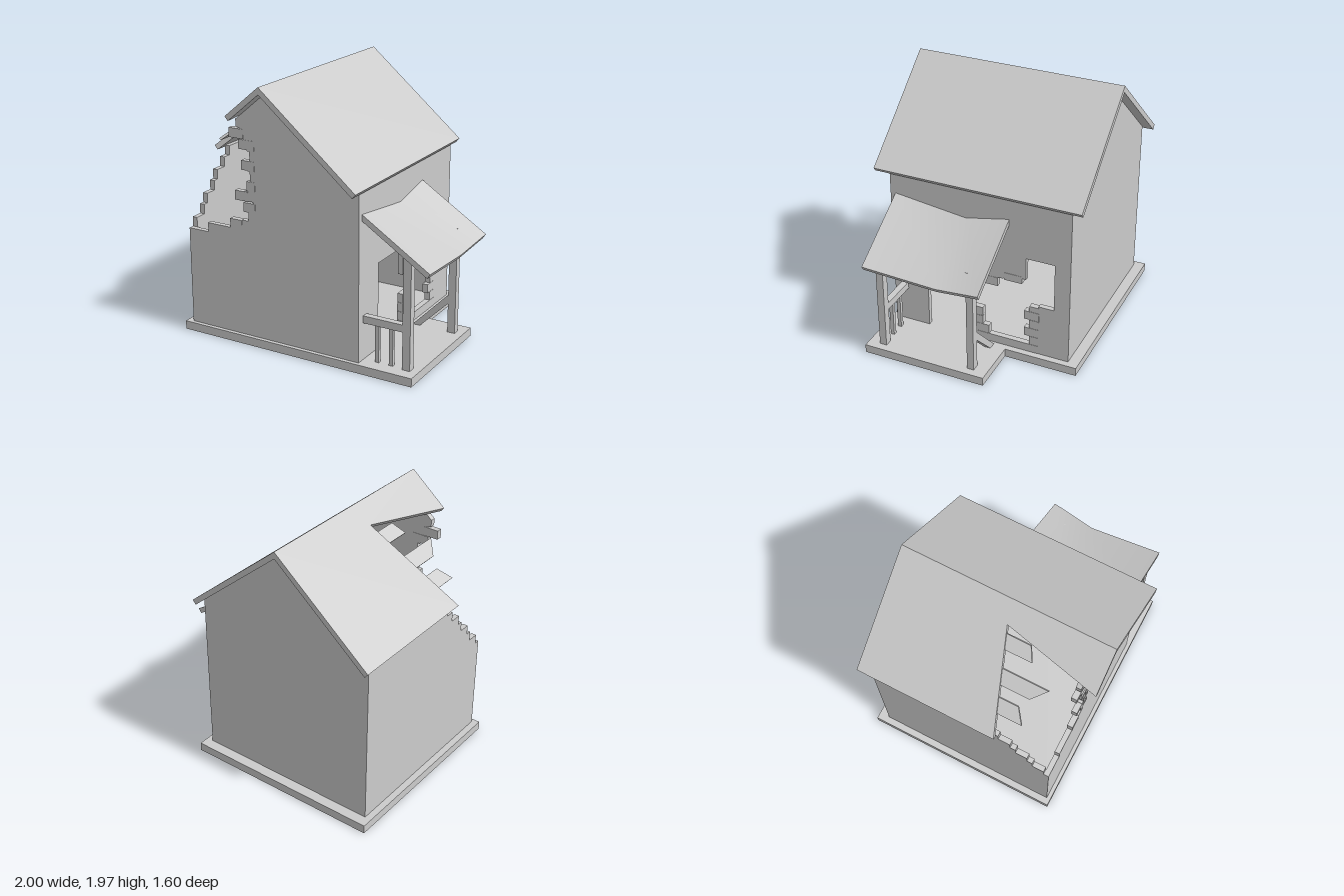
import * as THREE from 'three';
import { toCreasedNormals } from 'three/addons/utils/BufferGeometryUtils.js';

const T = 0.04; // wall and roof thickness
const RIDGE_X = -0.24, RIDGE_Y = 1.97, SLOPE = 0.84;
const ANGLE = Math.atan(SLOPE), COS = Math.cos(ANGLE);
const ROW = 0.074; // brick course height

export function createModel() {
  const model = new THREE.Group();
  const material = new THREE.MeshStandardMaterial({ color: 0xcccccc });

  const add = (name, geometry, parent = model) => {
    const mesh = new THREE.Mesh(geometry, material);
    mesh.name = name;
    parent.add(mesh);
    return mesh;
  };
  const extrude = (points, depth) =>
    new THREE.ExtrudeGeometry(new THREE.Shape(points.map(([a, b]) => new THREE.Vector2(a, b))),
      { depth, bevelEnabled: false });
  // Box given by its lower and upper limits on each axis
  const box = (name, [x0, x1], [y0, y1], [z0, z1], parent) =>
    add(name, new THREE.BoxGeometry(x1 - x0, y1 - y0, z1 - z0)
      .translate((x0 + x1) / 2, (y0 + y1) / 2, (z0 + z1) / 2), parent);
  // Horizontal slab from an (x, z) outline
  const slab = (points, y, height) =>
    extrude(points.map(([x, z]) => [x, -z]), height).rotateX(-Math.PI / 2).translate(0, y, 0);
  // Wall across x from a (z, y) outline, outer or inner face at xMax
  const sideWall = (points, xMax) => extrude(points, T).rotateY(-Math.PI / 2).translate(xMax, 0, 0);
  const underRoof = x => 1.92 - SLOPE * Math.abs(x - RIDGE_X);

  // L-shaped foundation with the porch floor
  add('foundation', slab([[-1, -0.8], [0.53, -0.8], [0.53, -0.24], [0.91, -0.24], [0.91, 0.72], [-1, 0.72]], 0, 0.065));

  // Back gable wall
  const B = 0.02, L = -0.95, R = 0.48;
  add('backWall', extrude([[L, B], [R, B], [R, underRoof(R)], [RIDGE_X, 1.92], [L, underRoof(L)]], T).translate(0, 0, -0.72));

  // Front gable wall, its upper left corner broken away
  const edge = [-0.48, -0.42, -0.38, -0.45, -0.42, -0.4, -0.42, -0.4, -0.42, -0.45];
  const broken = [[L, 0.81], [-0.78, 0.81], [-0.78, 0.88], [-0.5, 0.88]];
  edge.forEach((x, i) => broken.push([x, 0.88 + i * ROW], [x, 0.88 + (i + 1) * ROW]));
  add('frontWall', extrude([[L, B], [R, B], [R, underRoof(R)], [RIDGE_X, 1.92],
    [-0.51, underRoof(-0.51)], [-0.51, 1.64], ...broken.reverse()], T).translate(0, 0, 0.69 - T));

  // Bricks left standing along the front break
  const frontBricks = new THREE.Group();
  frontBricks.name = 'frontBricks';
  model.add(frontBricks);
  [[-0.58, -0.48, 0.88], [-0.46, -0.36, 1.02], [-0.53, -0.42, 1.1], [-0.43, -0.36, 1.18],
    [-0.47, -0.36, 1.33], [-0.49, -0.36, 1.48], [-0.57, -0.45, 1.555]]
    .forEach(([x0, x1, y]) => box('brick', [x0, x1], [y, y + 0.07], [0.648, 0.692], frontBricks));

  // Left wall, broken in steps towards the front
  const steps = [];
  for (let i = 0; i < 7; i++) {
    const z = 0.69 - i * 0.067 + (i > 0 && i % 2 ? 0.025 : 0);
    steps.push([z, 0.81 + i * ROW], [z - 0.067, 0.81 + i * ROW]);
    if (i < 6) steps.push([0.69 - (i + 1) * 0.067 + (i % 2 ? 0 : 0.025), 0.81 + i * ROW]);
  }
  add('leftWall', sideWall([[-0.72, B], [0.69, B], ...steps, [0.22, 1.325], [-0.72, 1.325]], L + T));

  // Right wall with doorway, window and the hole between them
  add('rightWall', sideWall([[-0.72, B], [-0.48, B], [-0.48, 0.48], [-0.6, 0.48], [-0.6, 0.86],
    [-0.38, 0.86], [-0.38, 0.68], [-0.27, 0.7], [-0.2, 0.645], [-0.16, 0.645], [-0.16, 0.58],
    [-0.08, 0.58], [0.04, 0.5], [0.04, 0.72], [0.41, 0.72], [0.41, B], [0.69, B],
    [0.69, 1.315], [-0.72, 1.315]], R));

  // Bricks around the side hole
  const sideBricks = new THREE.Group();
  sideBricks.name = 'sideBricks';
  model.add(sideBricks);
  [[-0.48, 0.04, 0], [-0.09, 0.04, 1], [-0.04, 0.04, 2], [-0.04, 0.04, 3],
    [-0.485, -0.41, 1], [-0.485, -0.37, 2], [-0.485, -0.41, 3], [-0.485, -0.37, 4], [-0.485, -0.41, 5]]
    .forEach(([z0, z1, row]) => {
      const y = 0.06 + row * 0.072;
      box('brick', [0.438, 0.482], [y, y + (row === 5 ? 0.045 : 0.07)], [z0, z1], sideBricks);
    });
  box('brick', [0.438, 0.482], [0.64, 0.7], [-0.35, -0.21], sideBricks);
  box('brick', [0.438, 0.482], [0.57, 0.64], [-0.16, -0.06], sideBricks);

  // Main roof: each side is modelled flat, then tilted about the ridge
  const roofSide = (name, tilt) => {
    const side = new THREE.Group();
    side.name = name;
    side.position.set(RIDGE_X, RIDGE_Y, 0);
    side.rotation.z = tilt;
    model.add(side);
    return side;
  };
  const along = x => (x - RIDGE_X) / COS;
  const slopePoints = pts => pts.map(([x, z]) => [along(x), z]);
  const rightRoof = roofSide('rightRoof', -ANGLE);
  add('rightRoofSlab', slab(slopePoints([[RIDGE_X, -0.8], [0.515, -0.8], [0.515, 0.8], [RIDGE_X, 0.8]]), -T, T), rightRoof);
  const leftRoof = roofSide('leftRoof', ANGLE);
  add('leftRoofSlab', slab(slopePoints([[RIDGE_X, -0.8], [-1, -0.8], [-1, 0.28], [-0.38, 0.07],
    [-0.52, 0.8], [RIDGE_X, 0.8]]), -T, T), leftRoof);
  // Splintered boards sticking out into the roof hole
  [[-0.86, -0.77, 0.42, 0.35], [-0.705, -0.615, 0.4, 0.5], [-0.515, -0.43, 0.32, 0.27]]
    .forEach(([x0, x1, end0, end1]) =>
      add('brokenBoard', slab(slopePoints([[x0, 0.08], [x1, 0.08], [x1, end1], [x0, end0]]), -0.03, 0.018), leftRoof));

  // Sagging porch roof: chevron section run down the slope
  const section = [[0.65, 0], [0.09, -0.06], [-0.25, 0], [-0.25, -T], [0.09, -0.06 - T], [0.65, -T]];
  const porchRoof = extrude(section.map(([z, n]) => [-z, n]), 0.625)
    .rotateY(Math.PI / 2).rotateZ(-0.566).translate(0.472, 1.155, 0);
  add('porchRoof', toCreasedNormals(porchRoof, 0.6));

  // Porch posts, railing and the fallen rail
  box('frontPost', [0.79, 0.85], [0.06, 0.9], [0.575, 0.63]);
  box('backPost', [0.79, 0.85], [0.06, 0.885], [-0.14, -0.087]);
  box('handrail', [0.47, 0.8], [0.345, 0.4], [0.578, 0.627]);
  for (const x of [0.57, 0.68]) box('baluster', [x, x + 0.03], [0.06, 0.35], [0.588, 0.617]);
  const fallenRail = add('fallenRail', extrude([[0.5, 0.06], [0.56, 0.06], [0.8, 0.3], [0.8, 0.35], [0.78, 0.35]], 0.05));
  fallenRail.position.z = -0.138;

  return model;
}
